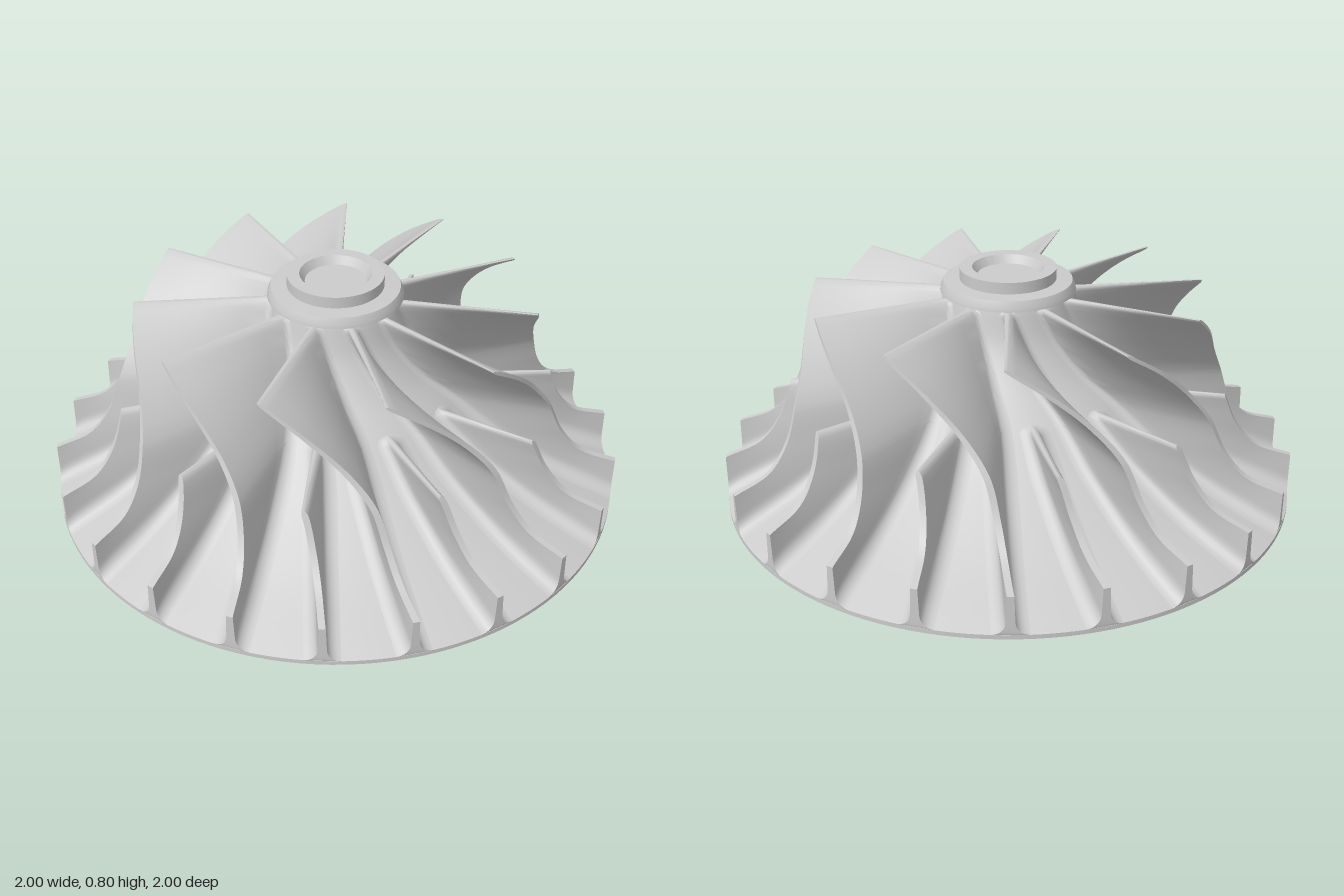
import * as THREE from 'three';
import { mergeGeometries, toCreasedNormals } from 'three/addons/utils/BufferGeometryUtils.js';

const COUNT = 11;
const PITCH = (Math.PI * 2) / COUNT;
const SPLIT = 0.5; // where the splitter blades begin along the flow path
const rad = THREE.MathUtils.degToRad;
const lerp = THREE.MathUtils.lerp;

// Flow path curves: radius, height, wrap angle in degrees
const path = (pts) => new THREE.CatmullRomCurve3(pts.map(([r, y, a]) => new THREE.Vector3(r, y, rad(a))));
const hubPath = path([
  [0.215, 0.72, 0], [0.25, 0.6, 11.5], [0.32, 0.49, 21.5], [0.41, 0.4, 28],
  [0.56, 0.263, 31], [0.77, 0.124, 32.8], [1, 0.015, 34],
]);
const shroudPath = path([
  [0.68, 0.72, 0], [0.694, 0.62, 12.5], [0.716, 0.51, 22.5], [0.757, 0.4, 28.8],
  [0.803, 0.28, 31.3], [0.875, 0.195, 32.8], [1, 0.15, 34],
]);

// Stations along the path, closer together at both leading edges
const half = [0, 0.002, 0.006, 0.012, 0.02, 0.03];
for (let i = 1; i <= 14; i++) half.push(0.03 + (0.47 * i) / 14);
const stations = [...half, ...half.slice(1).map((u) => SPLIT + u)];
const splitStations = stations.filter((u) => u >= SPLIT - 1e-6);

// Surface from a rectangular net of points
function grid(rows, cols, point) {
  const pos = [], index = [];
  for (let i = 0; i < rows; i++) for (let j = 0; j < cols; j++) pos.push(...point(i, j));
  for (let i = 0; i < rows - 1; i++) {
    for (let j = 0; j < cols - 1; j++) {
      const a = i * cols + j, c = a + cols;
      index.push(a, a + 1, c, a + 1, c + 1, c);
    }
  }
  const g = new THREE.BufferGeometry();
  g.setAttribute('position', new THREE.Float32BufferAttribute(pos, 3));
  g.setIndex(index);
  g.computeVertexNormals();
  return g;
}

const polar = (r, y, phi) => [r * Math.sin(phi), y, -r * Math.cos(phi)];

// Root thickness and fillet, narrowing to nothing at the leading edge
function root(u, start) {
  const t = Math.min(1, Math.max(0, (u - start) / 0.03));
  const ease = Math.sqrt(t * (2 - t));
  const r = hubPath.getPoint(u).x;
  return { half: 0.016 * ease, tip: 0.011 * ease, fillet: Math.min(0.042, r * 0.08) * ease };
}
const footAngle = (u, start) => {
  const { half: h, fillet } = root(u, start);
  return (h + fillet) / hubPath.getPoint(u).x;
};

// One side of a blade section, from fillet foot (k = 0) to tip
const FILLET = 5, WALL = 6, LEVELS = FILLET + WALL;
function bladePoint(u, start, side, k) {
  const h = hubPath.getPoint(u), s = shroudPath.getPoint(u);
  const span = Math.hypot(s.x - h.x, s.y - h.y);
  const w = root(u, start);
  const a = (Math.min(k / FILLET, 1) * Math.PI) / 2;
  const v0 = (w.fillet * (1 - Math.cos(a))) / span;
  const v = k <= FILLET ? v0 : lerp(v0, 1, (k - FILLET) / WALL);
  const offset = lerp(w.half, w.tip, v) + w.fillet * (1 - Math.sin(a));
  const p = h.clone().lerp(s, v);
  return polar(p.x, p.y, -p.z + (side * offset) / p.x);
}

// Hollow blade with filleted root and closed trailing edge
function bladeGeometry(list, start) {
  const skin = grid(list.length, 2 * LEVELS + 2, (i, j) =>
    j <= LEVELS ? bladePoint(list[i], start, -1, j) : bladePoint(list[i], start, 1, 2 * LEVELS + 1 - j));
  const trailing = grid(LEVELS + 1, 2, (i, j) => bladePoint(1, start, j ? 1 : -1, LEVELS - i));
  return toCreasedNormals(mergeGeometries([skin, trailing]), rad(40));
}

// Hub floor between two angular limits given as functions of the station
function floorGeometry(list, from, to, cols) {
  return grid(list.length, cols + 1, (i, j) => {
    const u = list[i], h = hubPath.getPoint(u);
    return polar(h.x, h.y, lerp(from(u), to(u), j / cols) - h.z);
  });
}

export function createModel() {
  const group = new THREE.Group();
  const material = new THREE.MeshStandardMaterial({ color: 0xcccccc, side: THREE.DoubleSide });
  const add = (name, geometry, turn = 0) => {
    const mesh = new THREE.Mesh(geometry, material);
    mesh.name = name;
    mesh.rotation.y = -turn;
    group.add(mesh);
  };

  // Blades and the floor of each passage
  const mainBlade = bladeGeometry(stations, 0);
  const splitter = bladeGeometry(splitStations, SPLIT);
  const mainFoot = (u) => footAngle(u, 0);
  const splitFoot = (u) => footAngle(u, SPLIT);
  const mid = PITCH / 2;
  const floor = mergeGeometries([
    floorGeometry(stations, mainFoot, (u) => mid - splitFoot(u), 5),
    floorGeometry(stations, (u) => mid + splitFoot(u), (u) => PITCH - mainFoot(u), 5),
  ]);
  for (let k = 0; k < COUNT; k++) {
    add('mainBlade', mainBlade, k * PITCH);
    add('splitterBlade', splitter, (k + 0.5) * PITCH);
    add('hubPassage', floor, k * PITCH);
  }

  // Collar, nose ring and shallow recess
  const collar = [
    [0.215, 0.72], [0.232, 0.722], [0.23, 0.735], [0.22, 0.757], [0.165, 0.76],
    [0.165, 0.8], [0.122, 0.8], [0.104, 0.772], [0, 0.772],
  ].map(([r, y]) => new THREE.Vector2(r, y));
  add('noseCollar', toCreasedNormals(new THREE.LatheGeometry(collar, 96), rad(30)));

  // Thin outer rim under the blades
  const rim = new THREE.CylinderGeometry(1, 1, 0.015, 132, 1, true);
  rim.translate(0, 0.0075, 0);
  add('rimBand', rim);

  return group;
}
